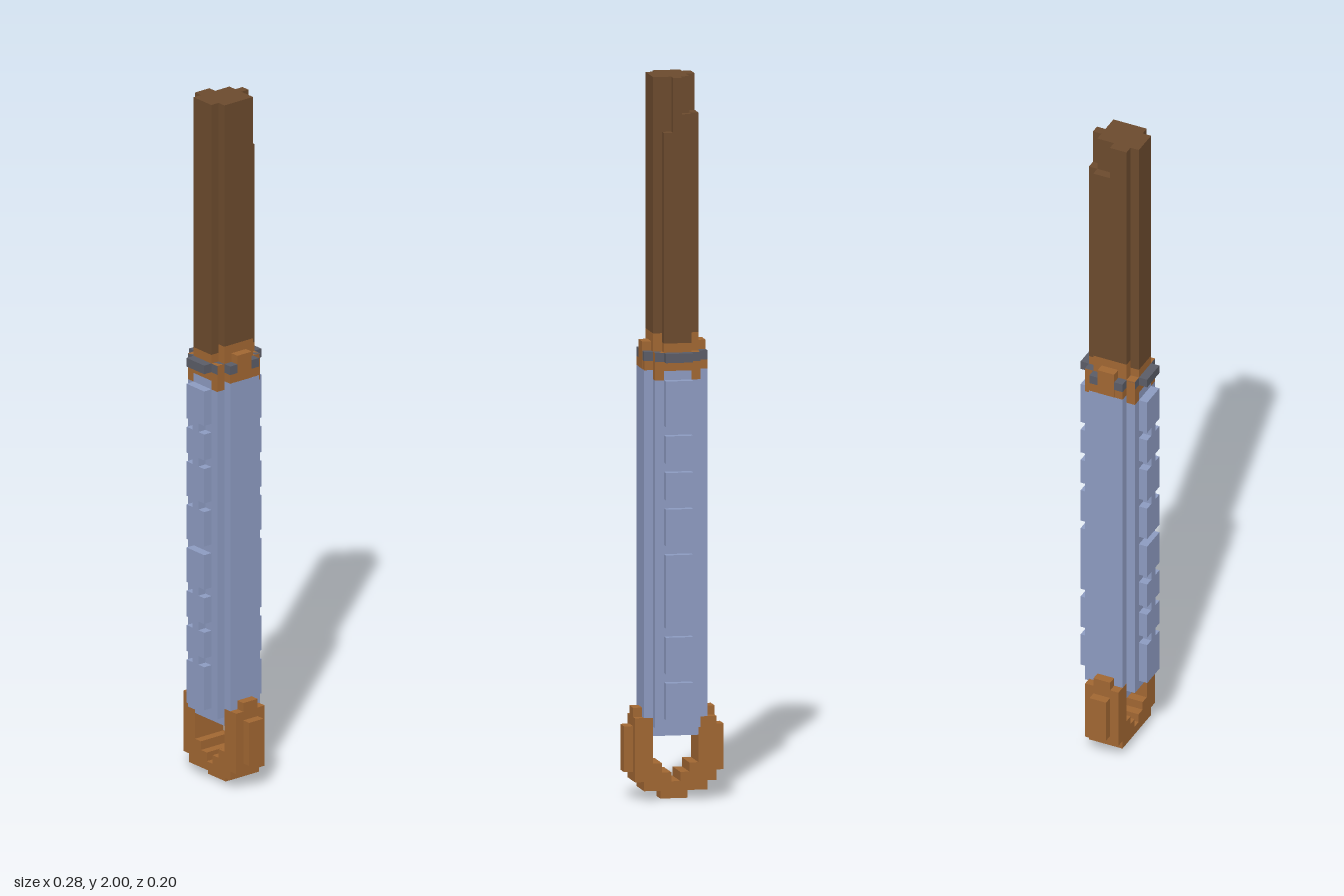
import * as THREE from 'three';

const U = 2 / 79; // block size

export function createModel() {
  const model = new THREE.Group();
  const mat = (name, color) => {
    const m = new THREE.MeshStandardMaterial({ color });
    m.name = name;
    return m;
  };
  const wood = mat('dark wood', 0x6b4a2d);
  const copper = mat('copper', 0xa06632);
  const steel = mat('dark steel', 0x5a5c66);
  const blue = mat('blue grip', 0x8c9ac0);

  // Box given by its limits in block units
  const block = (name, m, x0, x1, y0, y1, z0, z1) => {
    const g = new THREE.BoxGeometry((x1 - x0) * U, (y1 - y0) * U, (z1 - z0) * U);
    const mesh = new THREE.Mesh(g, m);
    mesh.position.set((x0 + x1) * U / 2, (y0 + y1) * U / 2, (z0 + z1) * U / 2);
    mesh.name = name;
    model.add(mesh);
  };
  // Box centred on the axis, by half sizes
  const core = (name, m, hx, hz, y0, y1) => block(name, m, -hx, hx, y0, y1, -hz, hz);
  // Pair of boxes mirrored in x
  const pair = (name, m, x0, x1, y0, y1, z0, z1) => {
    block(name, m, x0, x1, y0, y1, z0, z1);
    block(name, m, -x1, -x0, y0, y1, z0, z1);
  };

  // Wooden shaft with a chipped upper end
  core('shaft', wood, 1.5, 2, 51, 79);
  block('shaftFront', wood, -1.5, 1.5, 50, 79, 2, 3);
  block('shaftLeft', wood, 1.5, 2.5, 51, 79, -2, 2);
  block('shaftRight', wood, -2.5, -1.5, 51, 79, 0, 2);
  block('shaftRightChip', wood, -2.5, -1.5, 51, 75, -2, 0);
  [[-1.5, 75], [-0.5, 79], [0.5, 73]].forEach(([x, top]) =>
    block('shaftBack', wood, x, x + 1, 50, top, -3, -2));

  // Copper collar with side knobs
  core('collar', copper, 2.5, 2, 47, 51);
  core('collarRim', copper, 1.5, 3, 47, 50);
  core('collarKnobs', copper, 3.5, 1, 47, 50);
  for (const z of [-3, 2]) pair('collarCorner', copper, 1.5, 2.5, 46, 49, z, z + 1);
  pair('collarSide', copper, 2.5, 3.48, 47, 48, -2, 2);

  // Stepped steel ring
  [[1.5, 4], [2.5, 3.01], [3.49, 2]].forEach(([hx, hz]) => core('ring', steel, hx, hz, 48, 49));

  // Grip
  core('grip', blue, 3.5, 2, 9, 47);
  core('gripFaces', blue, 2.5, 3, 8, 46);
  core('gripTop', blue, 1.5, 3, 46, 47);
  core('gripEnd', blue, 2.5, 2, 7, 9);

  // Front inlays: wide plates joined by narrow waists
  const waists = [14, 18, 22, 27, 32, 37, 41];
  [9, ...waists.map(w => w + 1)].forEach((y, i) =>
    block('frontPlate', blue, -1.5, 1.5, y, [...waists, 46][i], 3, 4));
  waists.filter(w => w !== 27).forEach(w =>
    block('frontWaist', blue, -0.5, 0.5, w, w + 1, 3, 4));

  // Back inlays: separate plates
  [[9, 13], [14, 18], [19, 27], [28, 32], [33, 36], [37, 40], [41, 46]].forEach(([a, b]) =>
    block('backPlate', blue, -1.5, 1.5, a, b, -4, -3));

  // Copper pommel loop
  core('pommelTip', copper, 1.5, 1, 0, 1);
  core('pommelBase', copper, 3.5, 2, 1, 2);
  pair('pommelFloor', copper, 0.5, 4.5, 2, 3, -2, 2);
  pair('pommelShoulder', copper, 1.5, 4.5, 3, 4, -2, 2);
  pair('pommelArm', copper, 3.5, 4.5, 4, 9, -2, 2);
  pair('pommelInnerArm', copper, 2.5, 3.52, 4, 9, -2.02, 2.02);
  pair('pommelOuter', copper, 4.5, 5.5, 3, 8, -1, 1);
  pair('pommelHorn', copper, 3.5, 4.5, 9, 10, -1, 1);

  return model;
}
